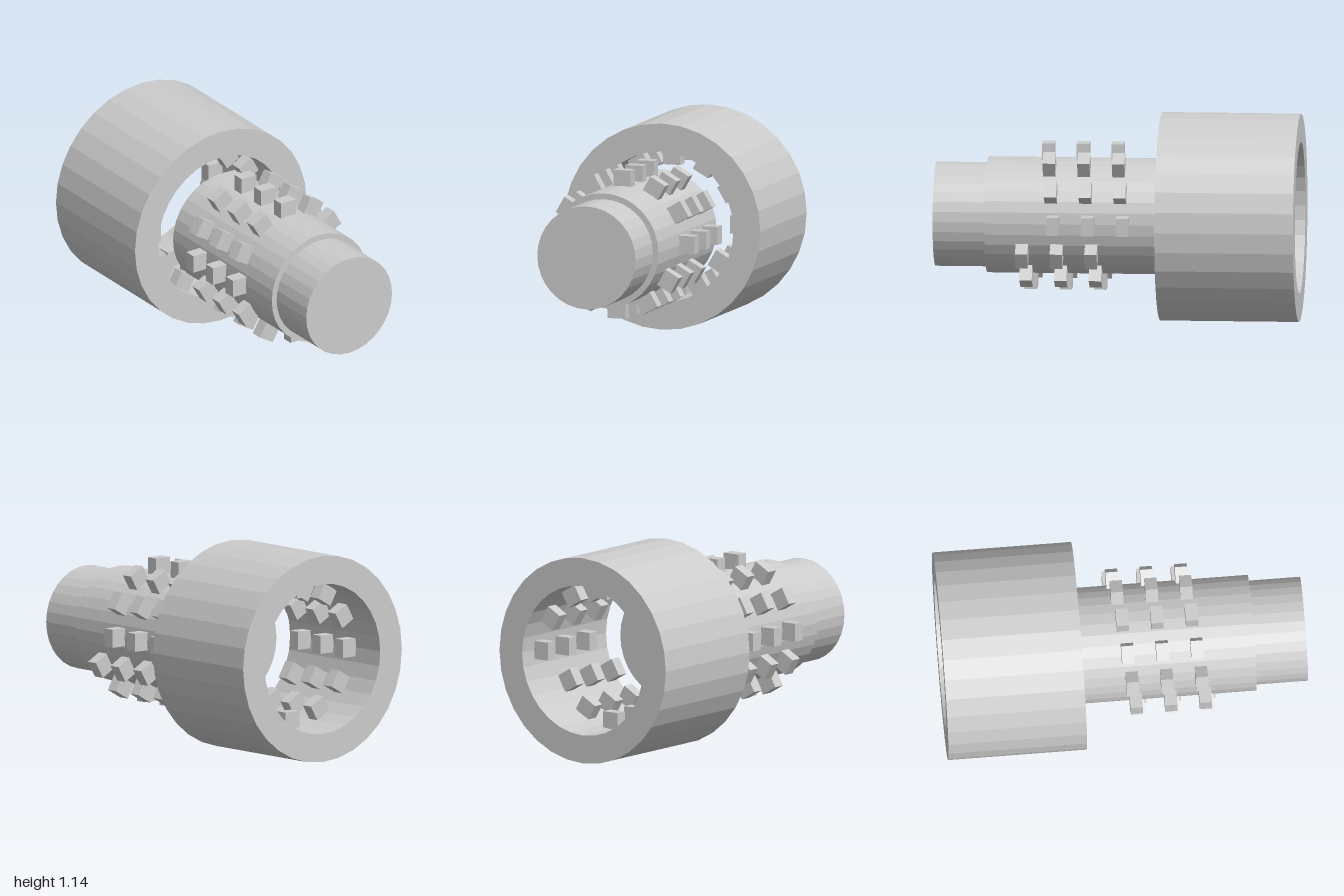
import * as THREE from 'three';

const U = 2 / 10.5;        // thread pitch, the base unit of the model
const SIDES = 32;
const PER_TURN = 12;
const TURNS = 3;
const RING_OUTER = 3 * U;
const RING_FRONT = -1 + 4 * U;
const SHAFT_FRONT = RING_FRONT + 5 * U;

const material = new THREE.MeshStandardMaterial({ color: 0xcccccc, flatShading: true });

function part(name, geometry) {
  const mesh = new THREE.Mesh(geometry, material);
  mesh.name = name;
  return mesh;
}

// Solid cylinder lying along z
function rod(name, radius, z0, z1) {
  const g = new THREE.CylinderGeometry(radius, radius, z1 - z0, SIDES);
  g.rotateX(Math.PI / 2).translate(0, 0, (z0 + z1) / 2);
  return part(name, g);
}

// Blocks climbing a helix, between radii r0 and r1, starting on the +x side at zStart
function helixBlocks(name, r0, r1, zStart) {
  const group = new THREE.Group();
  group.name = name;
  const g = new THREE.BoxGeometry(r1 - r0, 0.1, 0.068);
  g.translate((r0 + r1) / 2, 0, 0);
  for (let k = 0; k < PER_TURN * TURNS; k++) {
    const block = part('threadBlock', g);
    block.rotation.z = (k / PER_TURN) * Math.PI * 2;
    block.position.z = zStart + (k / PER_TURN) * U;
    group.add(block);
  }
  return group;
}

export function createModel() {
  const model = new THREE.Group();
  model.name = 'threadedBoltAndNut';

  // Bolt: shaft, narrower front end and outer thread
  const bolt = new THREE.Group();
  bolt.name = 'bolt';
  bolt.add(
    rod('shaft', 0.318, RING_FRONT, SHAFT_FRONT),
    rod('frontEnd', 1.5 * U, SHAFT_FRONT, 1),
    helixBlocks('outerThread', 0.308, 0.404, RING_FRONT + U),
  );

  // Nut: hollow ring with inner thread
  const nut = new THREE.Group();
  nut.name = 'nut';
  const inner = 0.416;
  const profile = [
    [inner, -1], [RING_OUTER, -1], [RING_OUTER, RING_FRONT], [inner, RING_FRONT], [inner, -1],
  ].map(([r, z]) => new THREE.Vector2(r, z));
  const ring = new THREE.LatheGeometry(profile, SIDES).rotateX(Math.PI / 2);
  nut.add(
    part('ring', ring),
    helixBlocks('innerThread', 0.322, 0.42, -1 + 0.75 * U),
  );

  model.add(bolt, nut);
  model.position.y = RING_OUTER;
  const root = new THREE.Group();
  root.add(model);
  return root;
}
